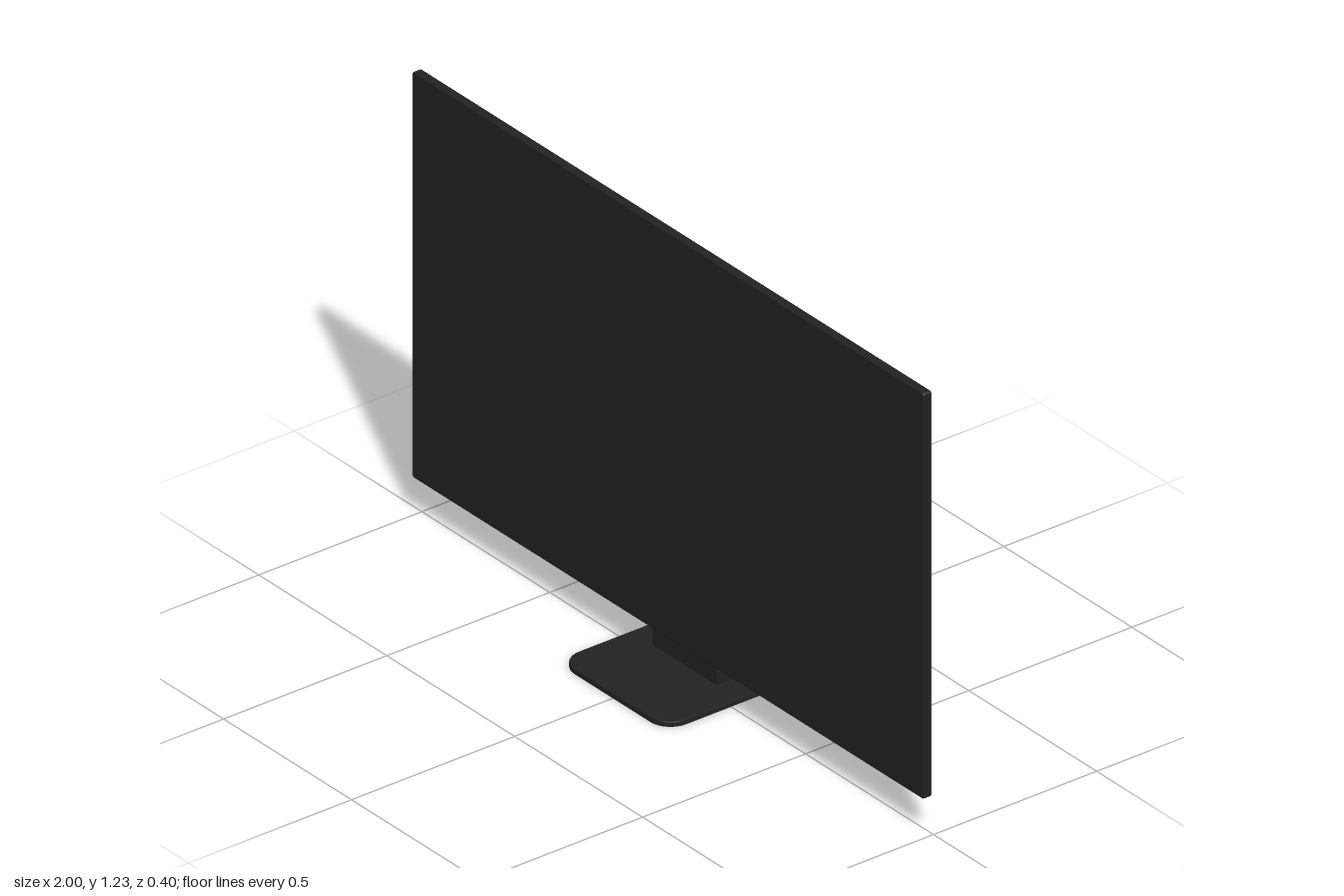
import * as THREE from 'three';

// Rounded rectangle outline centred on the origin
function roundedRect(w, h, r) {
  const x = w / 2, y = h / 2;
  const s = new THREE.Shape();
  s.moveTo(-x + r, -y);
  s.lineTo(x - r, -y);
  s.absarc(x - r, -y + r, r, -Math.PI / 2, 0);
  s.lineTo(x, y - r);
  s.absarc(x - r, y - r, r, 0, Math.PI / 2);
  s.lineTo(-x + r, y);
  s.absarc(-x + r, y - r, r, Math.PI / 2, Math.PI);
  s.lineTo(-x, -y + r);
  s.absarc(-x + r, -y + r, r, Math.PI, Math.PI * 1.5);
  return s;
}

// Slab of total size w x h x d, centred, with softened rims
function slab(w, h, d, r, bevel) {
  const g = new THREE.ExtrudeGeometry(roundedRect(w - 2 * bevel, h - 2 * bevel, r), {
    depth: d - 2 * bevel, bevelEnabled: true, bevelThickness: bevel,
    bevelSize: bevel, bevelSegments: 2, curveSegments: 8,
  });
  return g.translate(0, 0, -d / 2 + bevel);
}

export function createModel() {
  const group = new THREE.Group();
  const black = new THREE.MeshStandardMaterial({ color: 0x222222 });
  black.name = 'matte black';

  const add = (name, geometry, x, y, z) => {
    const mesh = new THREE.Mesh(geometry, black);
    mesh.name = name;
    mesh.position.set(x, y, z);
    group.add(mesh);
  };

  // Thin display panel and the raised housing behind it
  add('displayPanel', slab(2, 1.126, 0.025, 0.004, 0.003), 0, 0.67, 0.0175);
  add('rearHousing', slab(1.68, 0.742, 0.036, 0.018, 0.004), 0, 0.545, -0.009);

  // Wedge-shaped neck: side profile extruded across the width
  const profile = new THREE.Shape([
    [0.021, 0.01], [0.126, 0.01], [0.047, 0.422], [0.021, 0.422],
  ].map(([z, y]) => new THREE.Vector2(z, y)));
  const neck = new THREE.ExtrudeGeometry(profile, { depth: 0.25, bevelEnabled: false });
  neck.translate(0, 0, -0.125).rotateY(Math.PI / 2);
  add('standNeck', neck, 0, 0, 0);

  // Flat foot with rounded corners
  const foot = slab(0.42, 0.4, 0.015, 0.06, 0.002).rotateX(-Math.PI / 2);
  add('standFoot', foot, 0, 0.0075, 0);

  return group;
}
